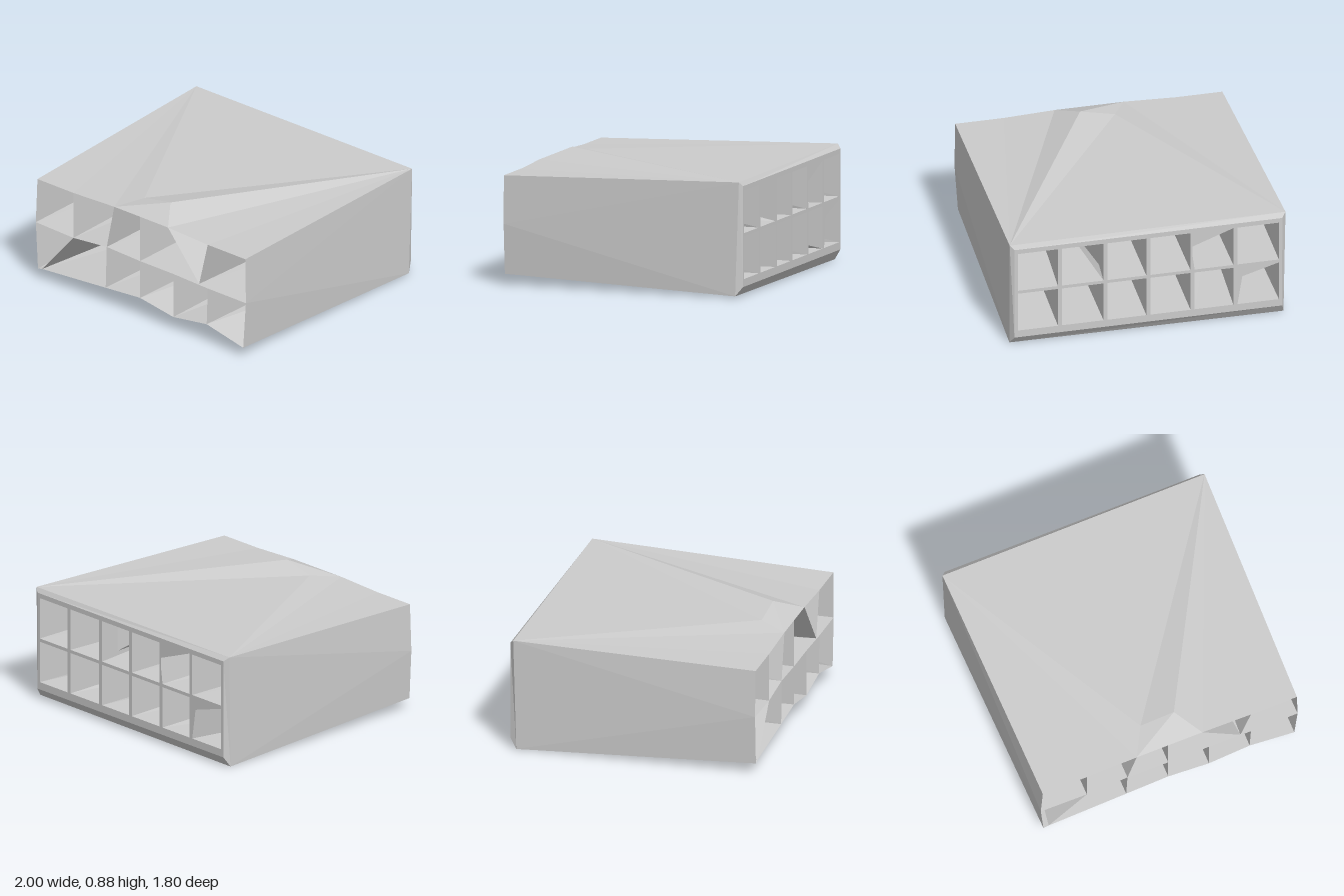
import * as THREE from 'three';

const ZF = 0.9, ZB = -0.9;
const mat = new THREE.MeshStandardMaterial({ color: 0xcccccc, flatShading: true, side: THREE.DoubleSide });

// Faceted mesh from polygons (each a convex loop of points, counter-clockwise from its front)
function facets(name, polys) {
  const pos = [];
  for (const p of polys)
    for (let i = 1; i < p.length - 1; i++) pos.push(...p[0], ...p[i], ...p[i + 1]);
  const geo = new THREE.BufferGeometry();
  geo.setAttribute('position', new THREE.Float32BufferAttribute(pos, 3));
  geo.computeVertexNormals();
  const mesh = new THREE.Mesh(geo, mat);
  mesh.name = name;
  return mesh;
}

// Front knife edges of the grid: bottom, middle and top rows, left to right
const front = [
  [[-0.95, 0.08], [-0.91, 0.09], [-0.32, 0.135], [0, 0.16], [0.31, 0.11], [0.62, 0.155], [0.96, 0.08]],
  [[-0.97, 0.44], [-0.62, 0.43], [-0.31, 0.46], [0, 0.45], [0.31, 0.45], [0.63, 0.44], [0.985, 0.44]],
  [[-0.955, 0.785], [-0.62, 0.785], [-0.24, 0.8], [0, 0.8], [0.26, 0.8], [0.63, 0.785], [0.98, 0.785]],
].map(row => row.map(([x, y]) => [x, y, ZF]));
// The two upper dividers that lean together at the front
const lean = [0.55, 0.45, ZF];
const frontNode = (r, c, upper) => (upper && r === 1 && (c === 4 || c === 5) ? lean : front[r][c]);

// Back grid lines
const backX = [-0.97, -0.63, -0.32, 0, 0.31, 0.64, 0.97];
const backY = [0.08, 0.45, 0.8];
const backNode = (r, c) => [backX[c], backY[r], ZB];

// Opening at the back of one compartment, inset from the grid lines
function backOpening(r, c) {
  const x0 = backX[c] + (c === 0 ? 0.025 : 0.015), x1 = backX[c + 1] - (c === 5 ? 0.025 : 0.015);
  const y0 = backY[r] + (r === 0 ? 0.055 : 0.012), y1 = backY[r + 1] - (r === 1 ? 0.035 : 0.012);
  const q = [[x0, y0, ZB], [x1, y0, ZB], [x1, y1, ZB], [x0, y1, ZB]];
  if (r === 1 && c === 1) q[2] = [-0.31, 0.65, ZB];
  if (r === 0 && c === 0) q[2] = [-0.68, 0.36, ZB];
  return q;
}

export function createModel() {
  const group = new THREE.Group();
  group.name = 'compartmentBlock';

  // Tapered compartments and the frame round their back openings
  const frame = [];
  for (let r = 0; r < 2; r++) for (let c = 0; c < 6; c++) {
    const up = r === 1;
    const f = [frontNode(r, c, up), frontNode(r, c + 1, up), frontNode(r + 1, c + 1, up), frontNode(r + 1, c, up)];
    const b = backOpening(r, c);
    const n = [backNode(r, c), backNode(r, c + 1), backNode(r + 1, c + 1), backNode(r + 1, c)];
    const walls = [];
    for (let i = 0; i < 4; i++) {
      const j = (i + 1) % 4;
      // Split each twisted wall from the front corner to the opposite back corner
      walls.push([f[i], f[j], b[j]], [f[i], b[j], b[i]]);
      frame.push([n[i], b[i], b[j], n[j]]);
    }
    group.add(facets(`compartment${r}${c}`, walls));
  }
  group.add(facets('backFrame', frame));

  // Outer corners of the shell at the back
  const TL = [-1, 0.83, -0.87], TR = [1, 0.83, -0.88], BL = [-0.99, 0.005, -0.85], BR = [0.995, 0.015, -0.85];
  const nBL = backNode(0, 0), nBR = backNode(0, 6), nTL = backNode(2, 0), nTR = backNode(2, 6);
  group.add(facets('backChamfer', [
    [nBL, nBR, BR, BL], [nTR, nTL, TL, TR],
    [nTL, nBL, BL, TL], [nBR, nTR, TR, BR],
  ]));

  // Roof with its bump near the front
  const t = front[2], P = [-0.13, 0.83, 0.7], Q = [0.12, 0.88, 0.71];
  group.add(facets('roof', [
    [t[0], t[1], TL], [t[1], t[2], TL], [t[2], P, TL], [P, TR, TL],
    [P, Q, TR], [t[2], Q, P], [t[2], t[3], Q], [t[3], t[4], Q],
    [t[4], TR, Q], [t[4], t[5], TR], [t[5], t[6], TR],
  ]));

  // Underside, dented up along the front edge
  const u = front[0], R = [[-0.3, 0.1, 0.72], [0.1, 0.095, 0.68], [0.32, 0.1, 0.72], [0.62, 0.09, 0.7]];
  group.add(facets('underside', [
    [u[1], u[0], BL], [u[1], BL, R[0]], [u[2], u[1], R[0]],
    [u[3], u[2], R[0]], [u[3], R[0], R[1]], [u[4], u[3], R[1]], [u[4], R[1], R[2]],
    [u[5], u[4], R[2]], [u[5], R[2], R[3]], [u[6], u[5], R[3]],
    [R[0], BL, R[1]], [R[1], BL, BR], [R[1], BR, R[2]], [R[2], BR, R[3]], [R[3], BR, u[6]],
  ]));

  // Side walls
  group.add(facets('rightSide', [
    [front[1][0], front[2][0], TL], [front[1][0], TL, BL], [front[0][0], front[1][0], BL],
  ]));
  group.add(facets('leftSide', [
    [front[2][6], front[1][6], TR], [front[1][6], BR, TR], [front[1][6], front[0][6], BR],
  ]));
  return group;
}
